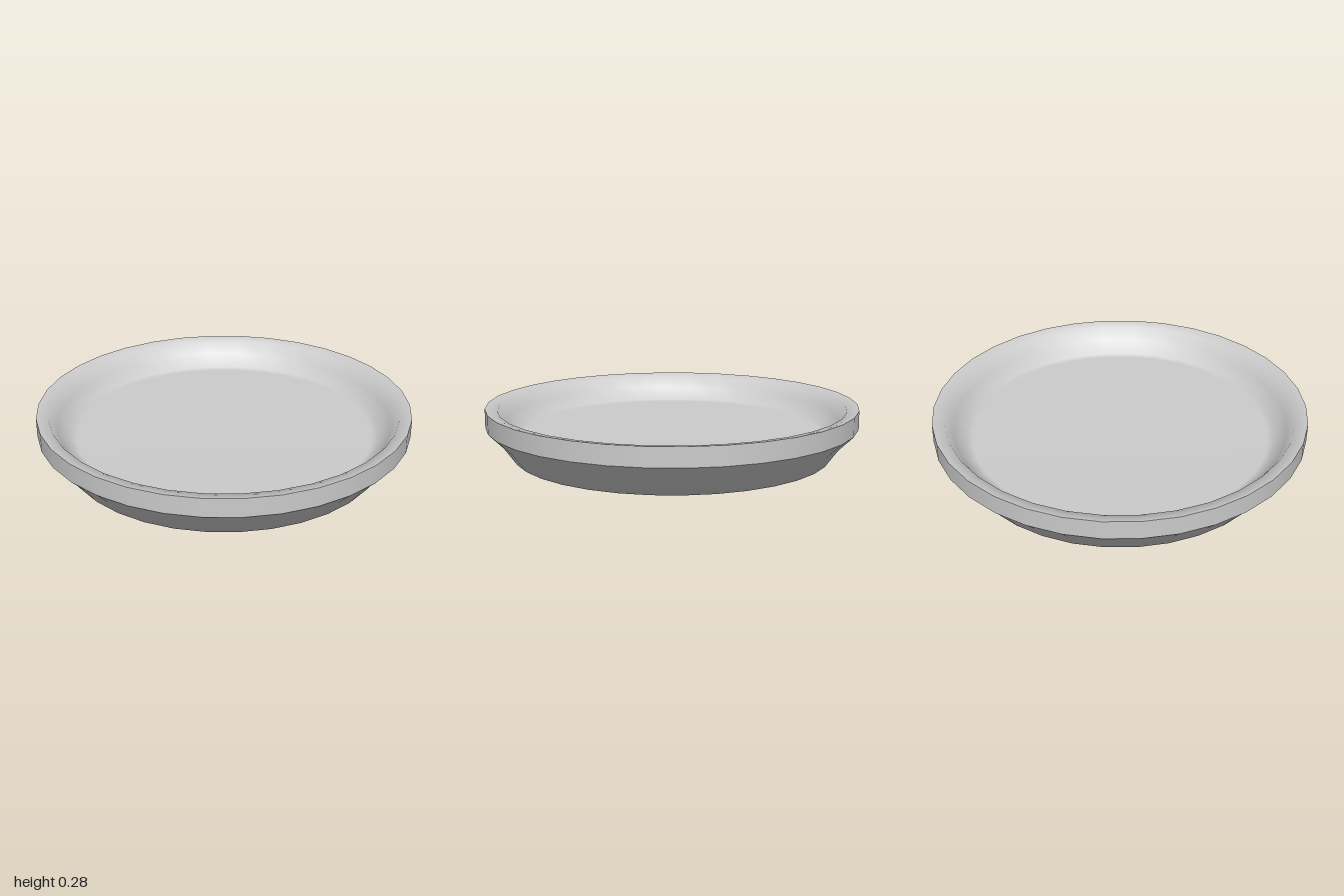
import * as THREE from 'three';

const SIDES = 34;

export function createModel() {
  const group = new THREE.Group();
  group.name = 'shallowDish';
  const material = new THREE.MeshStandardMaterial({ color: 0xcccccc });

  // Revolve a [radius, height] profile; a corner sits on the x axis
  const turn = (name, profile) => {
    const points = profile.map(([r, y]) => new THREE.Vector2(r, y));
    const geometry = new THREE.LatheGeometry(points, SIDES, Math.PI / 2);
    const mesh = new THREE.Mesh(geometry, material);
    mesh.name = name;
    group.add(mesh);
  };

  // Flat base and flared underside
  turn('underside', [[0, 0], [0.8, 0], [0.855, 0.005], [0.922, 0.098], [1, 0.175]]);

  // Upright outer band, with sharp edges above and below
  turn('rimBand', [[1, 0.175], [1, 0.275]]);

  // Rim top, sloping inner wall and flat floor
  turn('interior', [[1, 0.275], [0.935, 0.264], [0.895, 0.2], [0.835, 0.135], [0.8, 0.13], [0, 0.13]]);

  return group;
}
